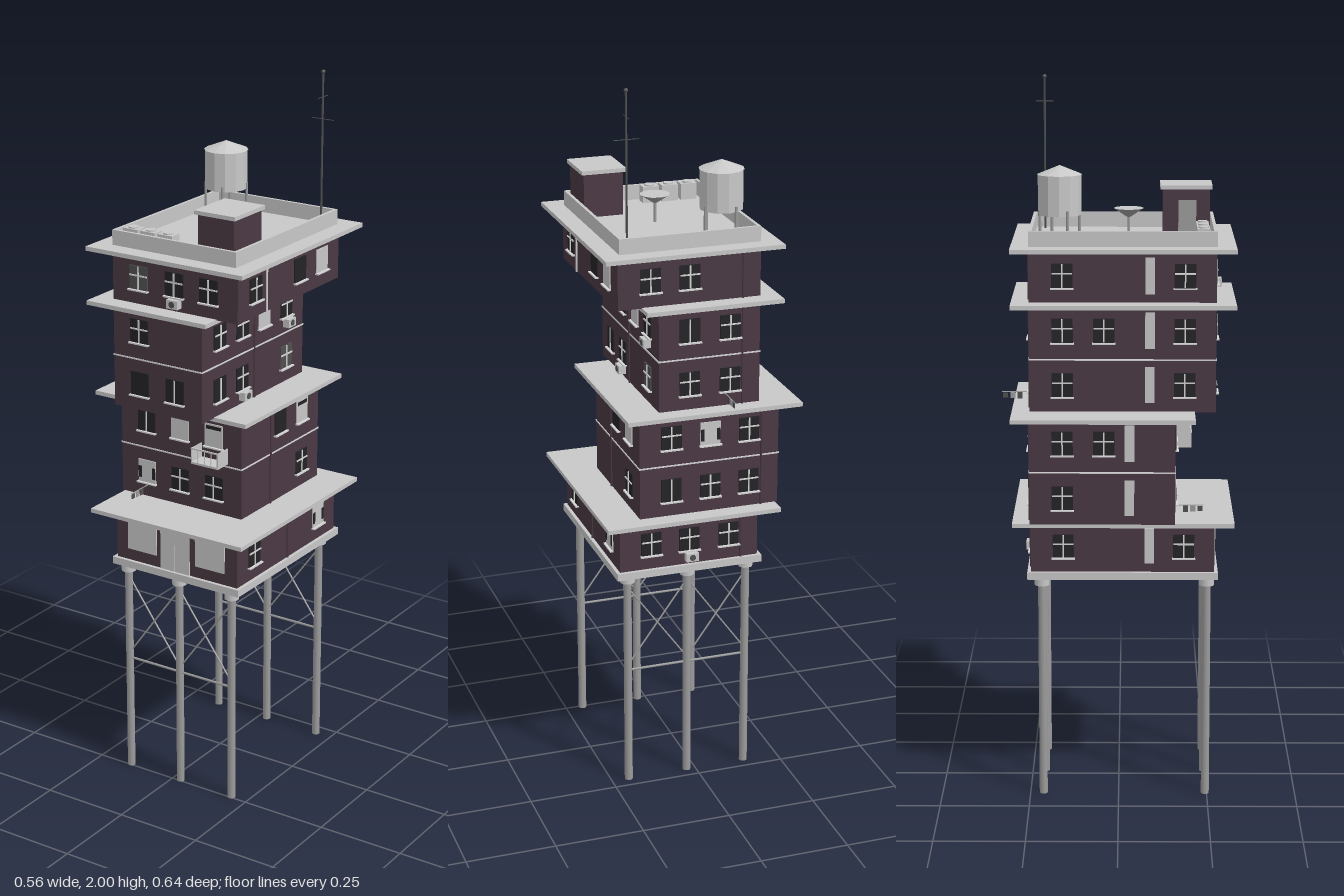
import * as THREE from 'three';

const mat = (name, color) => {
  const m = new THREE.MeshStandardMaterial({ color });
  m.name = name;
  return m;
};

export function createModel() {
  const wall = mat('plum wall', 0x4a3843);
  const concrete = mat('concrete', 0xc8c8c8);
  const steel = mat('steel', 0x9c9c9c);
  const glass = mat('dark glass', 0x232326);
  const trim = mat('trim', 0xd6d6d6);
  const dark = mat('dark metal', 0x505050);

  const model = new THREE.Group();
  model.name = 'stiltTower';

  const add = (parent, name, geo, m, x, y, z) => {
    const mesh = new THREE.Mesh(geo, m);
    mesh.name = name;
    mesh.position.set(x, y, z);
    parent.add(mesh);
    return mesh;
  };
  // Box given by centre and size
  const box = (parent, name, m, x, y, z, w, h, d) =>
    add(parent, name, new THREE.BoxGeometry(w, h, d), m, x, y, z);
  // Box given by its limits
  const span = (name, m, x0, x1, y0, y1, z0, z1) =>
    box(model, name, m, (x0 + x1) / 2, (y0 + y1) / 2, (z0 + z1) / 2, x1 - x0, y1 - y0, z1 - z0);
  // Round bar between two points
  const bar = (name, m, a, b, r, sides = 8) => {
    const p = new THREE.Vector3(...a), q = new THREE.Vector3(...b);
    const mesh = add(model, name, new THREE.CylinderGeometry(r, r, p.distanceTo(q), sides), m, 0, 0, 0);
    mesh.position.copy(p).add(q).multiplyScalar(0.5);
    mesh.quaternion.setFromUnitVectors(new THREE.Vector3(0, 1, 0), q.sub(p).normalize());
  };
  // Faceted copy of a geometry
  const faceted = (geo) => {
    const g = geo.toNonIndexed();
    g.computeVertexNormals();
    return g;
  };

  // Stilts, caps and bracing
  const stiltX = [-0.147, 0.026, 0.2];
  for (const z of [0.245, -0.213]) {
    stiltX.forEach((x, i) => {
      bar('stilt', steel, [x, 0, z], [x, 0.64, z], 0.0115, 10);
      bar('stiltCap', concrete, [x, 0.617, z], [x, 0.642, z], 0.021, 10);
      if (i === 2) return;
      const n = stiltX[i + 1];
      bar('brace', steel, [x, 0.36, z], [n, 0.6, z], 0.0025, 6);
      bar('brace', steel, [x, 0.6, z], [n, 0.36, z], 0.0025, 6);
      bar('tieRail', steel, [x, 0.345, z], [n, 0.345, z], 0.0035, 6);
    });
  }

  // Storey blocks: x0, x1, y0, y1, z0, z1
  const blocks = [
    [-0.17, 0.23, 0.66, 0.80, -0.243, 0.265],
    [-0.228, 0.172, 0.812, 1.104, -0.243, 0.155],
    [-0.17, 0.117, 1.114, 1.405, -0.243, 0.265],
    [-0.17, 0.23, 1.415, 1.556, -0.243, 0.265],
  ];
  span('baseSlab', concrete, -0.18, 0.24, 0.64, 0.661, -0.253, 0.275);
  blocks.forEach(([x0, x1, y0, y1, z0, z1], i) => {
    span('storeyBlock', wall, x0, x1, y0, y1, z0, z1);
    // Overhanging slab above the block
    span('overhangSlab', concrete, x0 - 0.051, x1 + 0.047, y1, y1 + 0.012, z0 - 0.049, z1 + 0.053);
    // Floor band between paired storeys
    if (i === 1 || i === 2) {
      const y = (y0 + y1) / 2;
      span('floorBand', trim, x0 - 0.002, x1 + 0.002, y - 0.002, y + 0.002, z0 - 0.002, z1 + 0.002);
    }
  });

  // Anchor on a wall: local +z points outward
  const anchor = (name, side, block, u, y) => {
    const [x0, x1, , , z0, z1] = blocks[block];
    const g = new THREE.Group();
    g.name = name;
    if (side === 'front') g.position.set(u, y, z1);
    if (side === 'back') g.position.set(u, y, z0);
    if (side === 'plusX') g.position.set(x1, y, u);
    if (side === 'minusX') g.position.set(x0, y, u);
    g.rotation.y = { front: 0, back: Math.PI, plusX: Math.PI / 2, minusX: -Math.PI / 2 }[side];
    model.add(g);
    return g;
  };

  // Window styles: c cross, v upright bar, d plain dark, g grey cross, l blind,
  // k parted curtain, t blind with dark top; upper case adds a cooler
  const windowUnit = (side, block, u, y, code) => {
    const g = anchor('window', side, block, u, y);
    const s = code.toLowerCase();
    const pane = 'lkt'.includes(s) ? concrete : s === 'g' ? dark : glass;
    box(g, 'pane', pane, 0, 0, 0.001, 0.058, 0.066, 0.004);
    box(g, 'sill', trim, 0, -0.035, 0.004, 0.064, 0.004, 0.012);
    if ('cvg'.includes(s)) box(g, 'mullion', trim, 0, 0, 0.003, 0.004, 0.064, 0.005);
    if ('cg'.includes(s)) box(g, 'transom', trim, 0, 0.006, 0.003, 0.056, 0.004, 0.005);
    if (s === 'k') for (const k of [-1, 1]) box(g, 'curtainGap', glass, k * 0.023, -0.004, 0.002, 0.01, 0.034, 0.004);
    if (s === 't') box(g, 'blindGap', glass, 0, 0.023, 0.002, 0.048, 0.01, 0.004);
    if (code !== s) {
      box(g, 'cooler', concrete, 0.004, -0.05, 0.01, 0.036, 0.024, 0.02);
      add(g, 'coolerFan', new THREE.CylinderGeometry(0.009, 0.009, 0.003, 10), dark, 0.004, -0.05, 0.02).rotation.x = Math.PI / 2;
    }
  };

  // One row per storey: block, height, then codes for each face column ('-' is blank)
  const rows = [
    [0, 0.735, '---', 'c--k', 'cCc', 'c--c'],
    [1, 0.887, 'kcc', '---c', 'ccv', '---c'],
    [1, 1.04, 'vlt', '--dt', 'ckc', '--cc'],
    [2, 1.19, 'dv-', 'vC-g', 'cc-', 'c--c'],
    [2, 1.34, 'c--', 'cclC', 'cv-', 'c-cc'],
    [3, 1.49, 'gCc', 'c-dl', '-cc', 'c--c'],
  ];
  const sideZ = [0.18, 0.07, -0.04, -0.153];
  for (const [block, y, front, plusX, back, minusX] of rows) {
    const cols = block === 1 ? [-0.142, -0.03, 0.082] : [-0.085, 0.03, 0.14];
    const faces = { front: [front, cols], plusX: [plusX, sideZ], back: [back, cols], minusX: [minusX, sideZ] };
    for (const [side, [codes, us]] of Object.entries(faces)) {
      us.forEach((u, i) => {
        if (codes[i] !== '-') windowUnit(side, block, u, y, codes[i]);
      });
    }
    // Tall stairwell light on the stair side
    const stair = anchor('stairLight', 'minusX', block, block === 1 ? 0.03 : 0.085, y);
    box(stair, 'stairPane', concrete, 0, 0, 0.001, 0.026, 0.1, 0.004);
  }

  // Shop front: two display windows and a double door
  for (const x of [-0.083, 0.142]) {
    const g = anchor('shopWindow', 'front', 0, x, 0.735);
    box(g, 'shopPane', concrete, 0, 0, 0.001, 0.096, 0.08, 0.005);
  }
  const door = anchor('shopDoor', 'front', 0, 0.027, 0.721);
  for (const k of [-1, 1]) box(door, 'doorLeaf', concrete, k * 0.0242, 0, 0.001, 0.047, 0.118, 0.006);

  // Drain pipes
  for (const [i, z] of [[0, 0.01], [1, 0.01], [2, 0.01], [3, 0.127]]) {
    const [x0, x1, y0, y1, z0] = blocks[i];
    bar('drainPipe', i === 3 ? trim : wall, [x1 + 0.002, y0, z], [x1 + 0.002, y1, z], 0.003, 6);
    bar('drainPipe', wall, [x0 + 0.05, y0, z0 - 0.002], [x0 + 0.05, y1, z0 - 0.002], 0.003, 6);
  }

  // Balcony
  const balcony = anchor('balcony', 'front', 1, 0.083, 0.965);
  box(balcony, 'balconyFloor', concrete, 0, 0.003, 0.025, 0.088, 0.006, 0.05);
  box(balcony, 'balconyRail', concrete, 0, 0.045, 0.049, 0.088, 0.004, 0.004);
  for (let i = 0; i <= 4; i++) box(balcony, 'baluster', concrete, -0.042 + i * 0.021, 0.024, 0.049, 0.002, 0.042, 0.002);
  for (const k of [-1, 1]) box(balcony, 'balconySide', concrete, k * 0.0425, 0.024, 0.024, 0.003, 0.044, 0.048);

  // Laundry poles
  for (const [side, block, u, y] of [['front', 1, -0.142, 0.845], ['back', 2, -0.071, 1.15]]) {
    const g = anchor('laundryPole', side, block, u, y);
    box(g, 'pole', steel, 0, 0, 0.04, 0.002, 0.002, 0.08);
    [0.03, 0.05, 0.07].forEach((z, i) =>
      box(g, 'cloth', i === 1 ? steel : dark, 0, -0.01, z, 0.002, 0.018 - i * 0.002, 0.014));
  }

  // Roof parapet
  span('parapetFront', concrete, -0.17, 0.225, 1.566, 1.61, 0.257, 0.266);
  span('parapetBack', concrete, -0.17, 0.225, 1.566, 1.61, -0.243, -0.234);
  for (const x of [-0.17, 0.216]) span('parapetSide', concrete, x, x + 0.009, 1.566, 1.61, -0.234, 0.257);

  // Stair house
  span('stairHouse', wall, 0.098, 0.21, 1.566, 1.69, 0.122, 0.253);
  span('stairHouseRoof', concrete, 0.09, 0.217, 1.69, 1.701, 0.115, 0.26);
  span('stairHouseDoor', steel, 0.094, 0.099, 1.568, 1.66, 0.165, 0.215);

  // Water tank
  const [tx, tz] = [-0.087, -0.16];
  add(model, 'tank', faceted(new THREE.CylinderGeometry(0.059, 0.059, 0.11, 12)), concrete, tx, 1.7, tz);
  add(model, 'tankRoof', faceted(new THREE.ConeGeometry(0.062, 0.025, 12)), concrete, tx, 1.7665, tz);
  for (let i = 0; i < 4; i++) {
    const a = 1.17 + i * Math.PI / 2;
    const x = tx + 0.058 * Math.cos(a), z = tz + 0.058 * Math.sin(a);
    bar('tankLeg', steel, [x, 1.566, z], [x, 1.66, z], 0.004, 6);
  }

  // Dish: dark shell, pale face
  bar('dishStem', steel, [0.037, 1.566, 0.027], [0.037, 1.625, 0.027], 0.004);
  add(model, 'dish', new THREE.CylinderGeometry(0.042, 0.006, 0.024, 12), [steel, concrete, steel], 0.037, 1.634, 0.027);

  // Roof coolers
  for (const x of [-0.125, -0.069, -0.013]) {
    box(model, 'roofCooler', concrete, x, 1.59, 0.229, 0.047, 0.048, 0.034);
    add(model, 'roofFan', new THREE.CylinderGeometry(0.014, 0.014, 0.004, 12), concrete, x, 1.616, 0.229);
  }

  // Antenna mast
  const [ax, az] = [0.193, -0.209];
  bar('mast', dark, [ax, 1.566, az], [ax, 1.995, az], 0.003);
  bar('mastArm', dark, [ax - 0.035, 1.865, az], [ax + 0.035, 1.865, az], 0.0012, 6);
  bar('mastArm', dark, [ax, 1.925, az - 0.024], [ax, 1.925, az + 0.024], 0.0012, 6);
  add(model, 'mastTip', new THREE.SphereGeometry(0.006, 10, 8), dark, ax, 1.994, az);

  return model;
}
